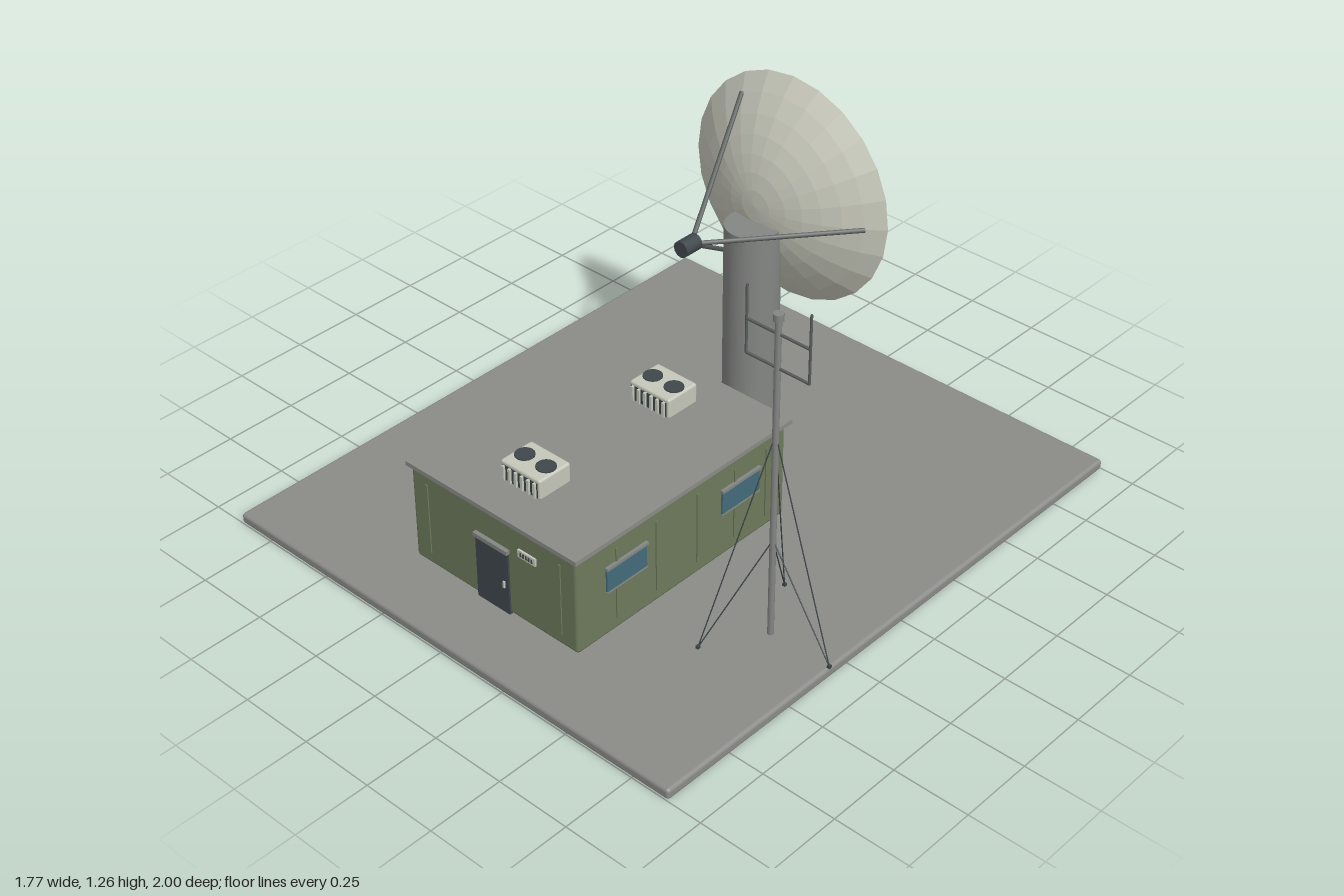
import * as THREE from 'three';
import { RoundedBoxGeometry } from 'three/addons/geometries/RoundedBoxGeometry.js';

const mat = (name, color, extra = {}) => {
  const m = new THREE.MeshStandardMaterial({ color, ...extra });
  m.name = name;
  return m;
};

export function createModel() {
  const M = {
    concrete: mat('concrete grey', 0x8b8c88),
    steel: mat('steel grey', 0x848684),
    green: mat('olive green', 0x6d7a5b),
    offWhite: mat('off white', 0xc6c8ba),
    dish: mat('dish white', 0xc9cabc, { flatShading: true, side: THREE.DoubleSide }),
    dark: mat('dark slate', 0x3f474c),
    strut: mat('strut grey', 0x5c605f),
    glass: mat('window blue', 0x446b7a),
  };

  const add = (parent, name, geo, material, x = 0, y = 0, z = 0) => {
    const mesh = new THREE.Mesh(geo, material);
    mesh.name = name;
    mesh.position.set(x, y, z);
    parent.add(mesh);
    return mesh;
  };
  const group = (parent, name, x = 0, y = 0, z = 0) => {
    const g = new THREE.Group();
    g.name = name;
    g.position.set(x, y, z);
    parent.add(g);
    return g;
  };
  const box = (w, h, d) => new THREE.BoxGeometry(w, h, d);
  const up = new THREE.Vector3(0, 1, 0);
  // Straight rod between two points
  const rod = (parent, name, a, b, r, material, sides = 6) => {
    const p = new THREE.Vector3(...a), q = new THREE.Vector3(...b);
    const d = q.clone().sub(p);
    const mesh = add(parent, name, new THREE.CylinderGeometry(r, r, d.length(), sides), material);
    mesh.position.copy(p).add(q).multiplyScalar(0.5);
    mesh.quaternion.setFromUnitVectors(up, d.normalize());
    return mesh;
  };

  const root = new THREE.Group();
  root.name = 'radarStation';

  // Ground slab
  add(root, 'slab', new RoundedBoxGeometry(1.77, 0.037, 2, 2, 0.012), M.concrete, 0, 0.0185, 0);

  // Shelter, local origin at the middle of its floor
  const shelter = group(root, 'shelter', 0, 0, 0.337);
  add(shelter, 'shelterBody', new RoundedBoxGeometry(0.67, 0.33, 0.885, 2, 0.012), M.green, 0, 0.211, 0);
  add(shelter, 'roof', box(0.69, 0.015, 0.915), M.concrete, 0, 0.384, -0.004);

  // Raised wall seams
  for (const x of [-0.27, 0.27])
    for (const s of [-1, 1])
      add(shelter, 'endSeam', box(0.008, 0.25, 0.008), M.green, x, 0.213, s * 0.4425);
  for (const s of [-1, 1])
    for (const z of [-0.357, -0.217, -0.055, 0.118, 0.283])
      add(shelter, 'sideSeam', box(0.008, 0.25, 0.008), M.green, s * 0.335, 0.213, z);

  // Door, lintel and handle
  add(shelter, 'door', box(0.132, 0.222, 0.012), M.dark, 0, 0.156, 0.443);
  add(shelter, 'doorLintel', box(0.138, 0.014, 0.022), M.steel, 0, 0.273, 0.445);
  add(shelter, 'doorHandle', box(0.006, 0.022, 0.008), M.offWhite, 0.05, 0.15, 0.451);

  // Wall vent beside the door
  add(shelter, 'wallVent', box(0.07, 0.026, 0.008), M.offWhite, 0.143, 0.295, 0.445);
  for (let i = 0; i < 5; i++)
    add(shelter, 'ventSlot', box(0.006, 0.014, 0.004), M.dark, 0.121 + i * 0.011, 0.295, 0.4485);

  // Side windows with small hoods
  for (const s of [-1, 1])
    for (const z of [-0.24, 0.245]) {
      add(shelter, 'window', box(0.009, 0.078, 0.163), M.glass, s * 0.3365, 0.245, z);
      add(shelter, 'windowHood', box(0.018, 0.009, 0.169), M.steel, s * 0.337, 0.289, z);
      add(shelter, 'windowSill', box(0.012, 0.005, 0.167), M.steel, s * 0.337, 0.204, z);
    }

  // Rooftop cooling units
  for (const z of [0.065, 0.6]) {
    const unit = group(root, 'coolingUnit', 0, 0.392, z);
    add(unit, 'coolingCase', new RoundedBoxGeometry(0.16, 0.07, 0.125, 2, 0.008), M.offWhite, 0, 0.035, 0);
    add(unit, 'grille', box(0.142, 0.05, 0.004), M.dark, 0, 0.033, 0.0625);
    for (let i = 0; i < 6; i++)
      add(unit, 'grilleFin', box(0.009, 0.05, 0.012), M.offWhite, -0.0625 + i * 0.025, 0.033, 0.066);
    for (const x of [-0.043, 0.043])
      add(unit, 'fan', new THREE.CylinderGeometry(0.031, 0.031, 0.006, 16), M.dark, x, 0.071, 0);
  }

  // Dish pedestal
  add(root, 'pedestal', new THREE.CylinderGeometry(0.088, 0.088, 0.782, 24), M.steel, 0, 0.443, -0.33);

  // Dish: shallow bowl whose hollow faces the back
  const antenna = group(root, 'dishAntenna', 0, 0.889, 0);
  const profile = [];
  for (let i = 0; i <= 7; i++) {
    const r = 0.376 * i / 7;
    profile.push(new THREE.Vector2(r, -0.165 * (r / 0.376) ** 2));
  }
  const bowl = add(antenna, 'dish', new THREE.LatheGeometry(profile, 24), M.dish, 0, 0, -0.336);
  bowl.rotation.x = Math.PI / 2;

  // Feed horn on three struts
  const feed = add(antenna, 'feedHorn', new THREE.CylinderGeometry(0.027, 0.027, 0.065, 12), M.dark, 0, 0, -0.043);
  feed.rotation.x = Math.PI / 2;
  for (let i = 0; i < 3; i++) {
    const a = i * Math.PI * 2 / 3;
    rod(antenna, 'feedStrut', [0.008 * Math.cos(a), 0.008 * Math.sin(a), -0.065],
      [0.325 * Math.cos(a), 0.325 * Math.sin(a), -0.457], 0.0075, M.strut);
  }

  // Mast with cap
  const mast = group(root, 'mast', 0.664, 0, 0.332);
  rod(mast, 'mastPole', [0, 0.035, 0], [0, 1.115, 0], 0.01, M.steel, 10);
  rod(mast, 'mastCap', [0, 1.108, 0], [0, 1.131, 0], 0.016, M.steel, 10);

  // Aerial frame
  for (const y of [0.957, 1.066])
    rod(mast, 'aerialCrossbar', [-0.111, y, 0], [0.111, y, 0], 0.0045, M.strut);
  for (const x of [-0.111, 0.111])
    rod(mast, 'aerialRod', [x, 0.955, 0], [x, 1.175, 0], 0.004, M.strut);

  // Guy wires at two heights to three anchors
  for (let i = 0; i < 3; i++) {
    const a = i * Math.PI * 2 / 3;
    const x = 0.218 * Math.cos(a), z = 0.218 * Math.sin(a);
    add(mast, 'guyAnchor', box(0.01, 0.01, 0.01), M.dark, x, 0.041, z);
    for (const y of [0.375, 0.738])
      rod(mast, 'guyWire', [0, y, 0], [x, 0.04, z], 0.002, M.dark, 5);
  }

  return root;
}
